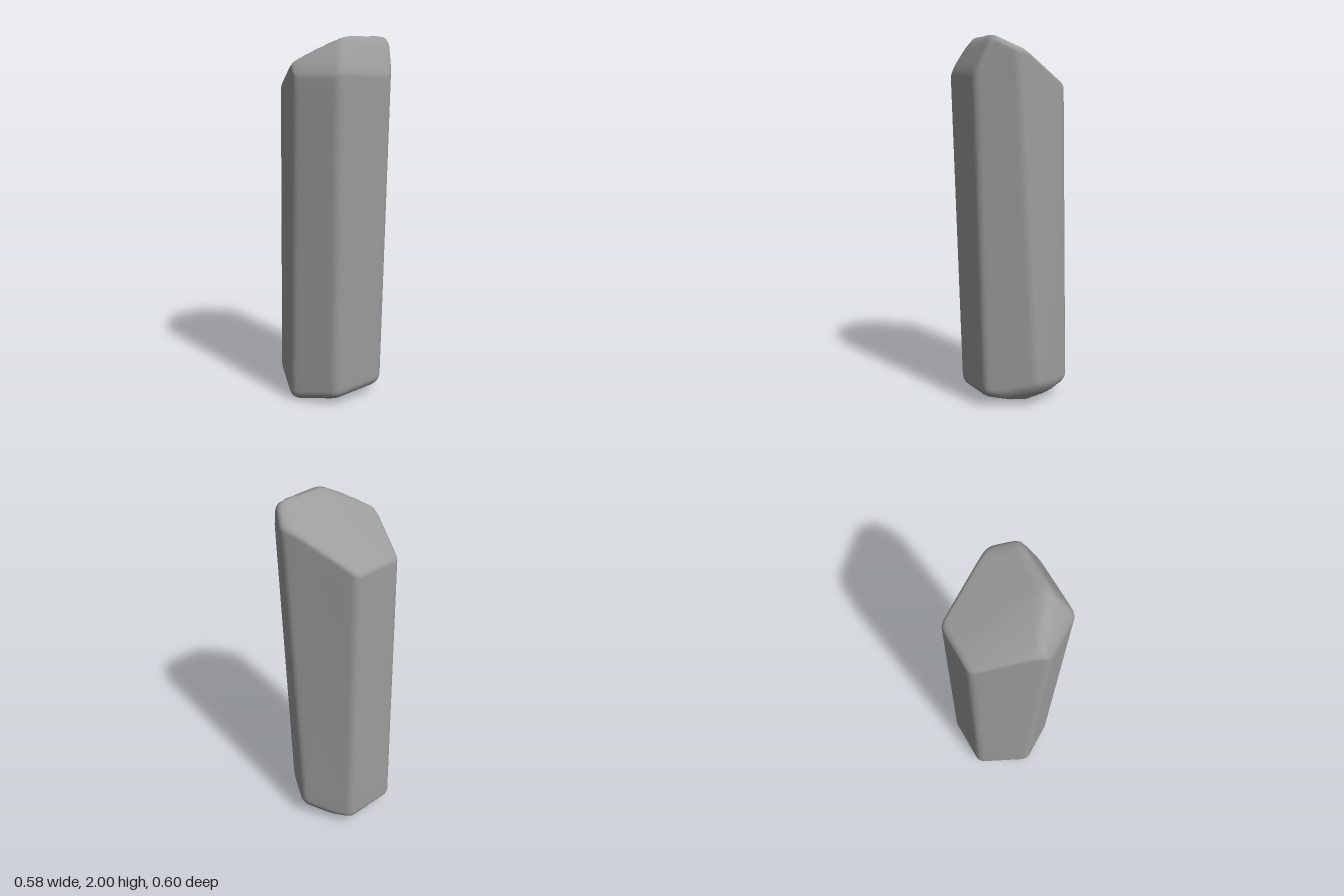
import * as THREE from 'three';

// Six-sided cross-section corners [x, z] at the foot and at the tip
const FOOT = [[0.235, 0.16], [0, 0.3], [-0.291, 0.165], [-0.291, -0.155], [-0.02, -0.309], [0.24, -0.16]];
const TIP = [[0.283, 0.175], [0.06, 0.309], [-0.28, 0.155], [-0.28, -0.125], [0.085, -0.295], [0.292, -0.165]];

const smin = (a, b, k) => {
  const h = Math.max(k - Math.abs(a - b), 0) / k;
  return Math.min(a, b) - h * h * k / 4;
};

// Slanted tip: a broad main facet cut by right, curved front-right and back facets
function tipHeight(x, z) {
  const main = 1.7525 + 0.54 * (x + 0.28) - 0.6 * Math.max(0, z) ** 2;
  const right = 1.8175 + 2.1 * (0.285 - x);
  const t = Math.min(0.3, 0.289 - (0.51 * x + 0.86 * z));
  const frontRight = 1.82 + 1.8 * t - 3 * t * t;
  const back = 1.998 + 0.9 * (z + 0.21);
  return smin(smin(smin(main, right, 0.05), frontRight, 0.05), back, 0.05);
}

// Shallow keel under the foot, lowest at the front, bevelled at the back
const footHeight = (x, z) =>
  0.15 * Math.sqrt(x * x + 0.0004) + 0.06 * (0.28 - z) + 0.6 * Math.max(0, -z - 0.2) - 0.006;

// Rounded hexagon outline, u = 0 foot to 1 tip
function outline(u) {
  const corners = FOOT.map((c, i) =>
    new THREE.Vector2(...c).lerp(new THREE.Vector2(...TIP[i]), u));
  const toward = (from, to) => from.clone().add(to.clone().sub(from).setLength(0.037));
  const points = [];
  corners.forEach((c, i) => {
    const next = corners[(i + 1) % 6];
    const start = toward(c, corners[(i + 5) % 6]), end = toward(c, next);
    points.push(...new THREE.QuadraticBezierCurve(start, c, end).getPoints(5));
    for (let j = 1; j < 6; j++) points.push(end.clone().lerp(toward(next, c), j / 6));
  });
  return points;
}

// Rounded rim: height lost near the outline, s = 1 at the wall
function rim(s, r) {
  const d = Math.max(0, s * 0.29 - (0.29 - r));
  return r - Math.sqrt(Math.max(0, r * r - d * d));
}

function crystalGeometry() {
  const scales = [0, 0.12, 0.24, 0.36, 0.48, 0.58, 0.67, 0.75, 0.82, 0.88, 0.92, 0.95, 0.975, 0.99, 1];
  const footRim = 0.06, tipRim = 0.025, rings = [];
  const foot = outline(0), tip = outline(1);

  // Foot cap, from its centre outwards
  for (const s of scales) rings.push(foot.map((p) => {
    const x = p.x * s, z = p.y * s;
    return [x, footHeight(x, z) + rim(s, footRim), z];
  }));
  // Long walls
  const steps = 16;
  for (let i = 1; i < steps; i++) {
    const u = i / steps;
    rings.push(outline(u).map((p, j) => {
      const low = footHeight(foot[j].x, foot[j].y) + footRim;
      const high = tipHeight(tip[j].x, tip[j].y) - tipRim;
      return [p.x, THREE.MathUtils.lerp(low, high, u), p.y];
    }));
  }
  // Tip cap, from the wall inwards
  for (const s of [...scales].reverse()) rings.push(tip.map((p) => {
    const x = p.x * s, z = p.y * s;
    return [x, tipHeight(x, z) - rim(s, tipRim), z];
  }));

  // Join the rings; the first and last are single points
  const n = foot.length, last = rings.length - 2, index = [];
  for (let r = 0; r <= last; r++) {
    for (let j = 0; j < n; j++) {
      const a = r * n + j, b = r * n + (j + 1) % n;
      if (r < last) index.push(a, a + n, b + n);
      if (r > 0) index.push(a, r < last ? b + n : a + n, b);
    }
  }
  const geometry = new THREE.BufferGeometry();
  geometry.setAttribute('position', new THREE.Float32BufferAttribute(rings.flat(2), 3));
  geometry.setIndex(index);
  geometry.computeVertexNormals();
  return geometry;
}

export function createModel() {
  const group = new THREE.Group();
  group.name = 'crystal';
  const shard = new THREE.Mesh(crystalGeometry(), new THREE.MeshStandardMaterial({ color: 0x9c9c9c }));
  shard.name = 'crystalShard';
  group.add(shard);
  return group;
}
